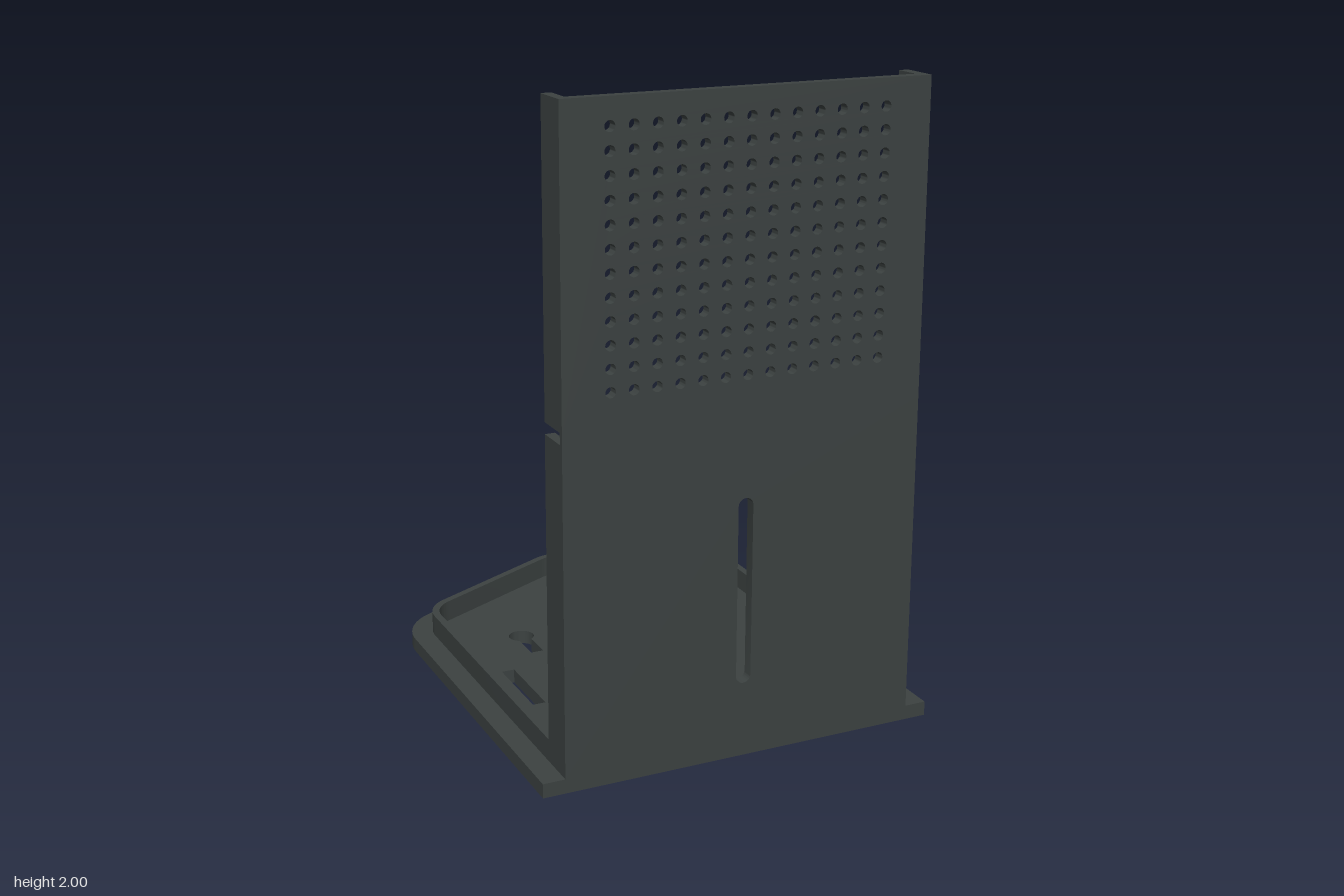
import * as THREE from 'three';
import { toCreasedNormals } from 'three/addons/utils/BufferGeometryUtils.js';

const FRONT = 0.778;      // front face of the upright
const PANEL_BACK = 0.742; // rear face of the upright panel
const FLANGE_BACK = 0.655;
const HALF_W = 0.573;
const FLOOR = 0.045;
const HINGE_LOW = 1.05, HINGE_HIGH = 1.085, TOP = 2;

// Pointed base outline with rounded corners, offset inwards by d
function outline(Type, d, frontZ) {
  const r = 0.21 - d, a = 1.09;
  const p = new Type();
  p.moveTo(-(0.643 - d), -frontZ);
  p.lineTo(0.643 - d, -frontZ);
  p.absarc(0.433, 0.344, r, 0, a, false);
  p.absarc(0, 0.57, r, a, Math.PI - a, false);
  p.absarc(-0.433, 0.344, r, Math.PI - a, Math.PI, false);
  p.closePath();
  return p;
}

function rect(Type, x0, y0, x1, y1) {
  const p = new Type();
  p.moveTo(x0, y0);
  p.lineTo(x1, y0);
  p.lineTo(x1, y1);
  p.lineTo(x0, y1);
  p.closePath();
  return p;
}

// Round head with a narrow slot towards the front
function keyhole(x) {
  const r = 0.042, w = 0.021, a = Math.asin(w / r), p = new THREE.Path();
  p.moveTo(x - w, 0.08);
  p.lineTo(x + w, 0.08);
  p.absarc(x, 0.22, r, -Math.PI / 2 + a, Math.PI * 1.5 - a, false);
  p.closePath();
  return p;
}

function roundSlot(x, y0, y1, r) {
  const p = new THREE.Path();
  p.absarc(x, y1 - r, r, 0, Math.PI, false);
  p.absarc(x, y0 + r, r, Math.PI, Math.PI * 2, false);
  p.closePath();
  return p;
}

function extrude(shape, depth, curveSegments) {
  const g = new THREE.ExtrudeGeometry(shape, { depth, curveSegments, bevelEnabled: false });
  return toCreasedNormals(g, 0.6);
}

export function createModel() {
  const group = new THREE.Group();
  const charcoal = new THREE.MeshStandardMaterial({ color: 0x3c4241 });
  charcoal.name = 'charcoal plastic';

  const add = (name, geometry) => {
    const mesh = new THREE.Mesh(geometry, charcoal);
    mesh.name = name;
    group.add(mesh);
    return mesh;
  };
  const box = (name, x0, x1, y0, y1, z0, z1) => {
    const m = add(name, new THREE.BoxGeometry(x1 - x0, y1 - y0, z1 - z0));
    m.position.set((x0 + x1) / 2, (y0 + y1) / 2, (z0 + z1) / 2);
  };

  // Base plate with keyholes, strap slots and cable opening
  const base = outline(THREE.Shape, 0, FRONT);
  for (const s of [-1, 1]) {
    base.holes.push(keyhole(s * 0.311));
    base.holes.push(rect(THREE.Path, s * 0.453 - 0.021, -0.286, s * 0.453 + 0.021, -0.02));
  }
  base.holes.push(rect(THREE.Path, 0.302, -0.74, 0.407, -0.65));
  add('basePlate', extrude(base, FLOOR, 16).rotateX(-Math.PI / 2));

  // Raised rim: outer outline, then back along the inner one, open at the front
  const loop = (d) => outline(THREE.Path, d, FLANGE_BACK).getPoints(16).slice(1, -1);
  const inner = loop(0.094).reverse();
  const outer = loop(0.07);
  const left = new THREE.Vector2(-HALF_W, -FLANGE_BACK);
  const innerLeft = new THREE.Vector2(-0.549, -FLANGE_BACK);
  const rim = new THREE.Shape([...outer, left, innerLeft, ...inner]);
  const rimMesh = add('baseRim', extrude(rim, 0.115 - FLOOR, 16).rotateX(-Math.PI / 2));
  rimMesh.position.y = FLOOR;

  // Lower upright panel with its long slot
  const thickness = FRONT - PANEL_BACK;
  const lower = rect(THREE.Shape, -HALF_W, FLOOR, HALF_W, HINGE_LOW);
  lower.holes.push(roundSlot(0, 0.235, 0.815, 0.024));
  add('lowerPanel', extrude(lower, thickness, 12)).position.z = PANEL_BACK;

  // Upper upright panel with a grid of round holes
  const upper = rect(THREE.Shape, -HALF_W, HINGE_HIGH, HALF_W, TOP);
  for (let row = 0; row < 12; row++) {
    for (let col = 0; col < 13; col++) {
      const hole = new THREE.Path();
      hole.absarc((col - 6) * 0.0711, 1.185 + row * 0.0668, 0.016, 0, Math.PI * 2, false);
      upper.holes.push(hole);
    }
  }
  add('upperPanel', extrude(upper, thickness, 16)).position.z = PANEL_BACK;

  // Thin fold line joining the two panels
  box('hingeStrip', -HALF_W, HALF_W, HINGE_LOW, HINGE_HIGH, 0.763, FRONT);

  // Side flanges behind both panels
  for (const s of [-1, 1]) {
    const side = s > 0 ? 'left' : 'right';
    const x0 = s > 0 ? 0.542 : -HALF_W, x1 = s > 0 ? HALF_W : -0.542;
    box(side + 'LowerFlange', x0, x1, FLOOR, HINGE_LOW, FLANGE_BACK, PANEL_BACK);
    box(side + 'UpperFlange', x0, x1, HINGE_HIGH, TOP, FLANGE_BACK, PANEL_BACK);
  }

  return group;
}
